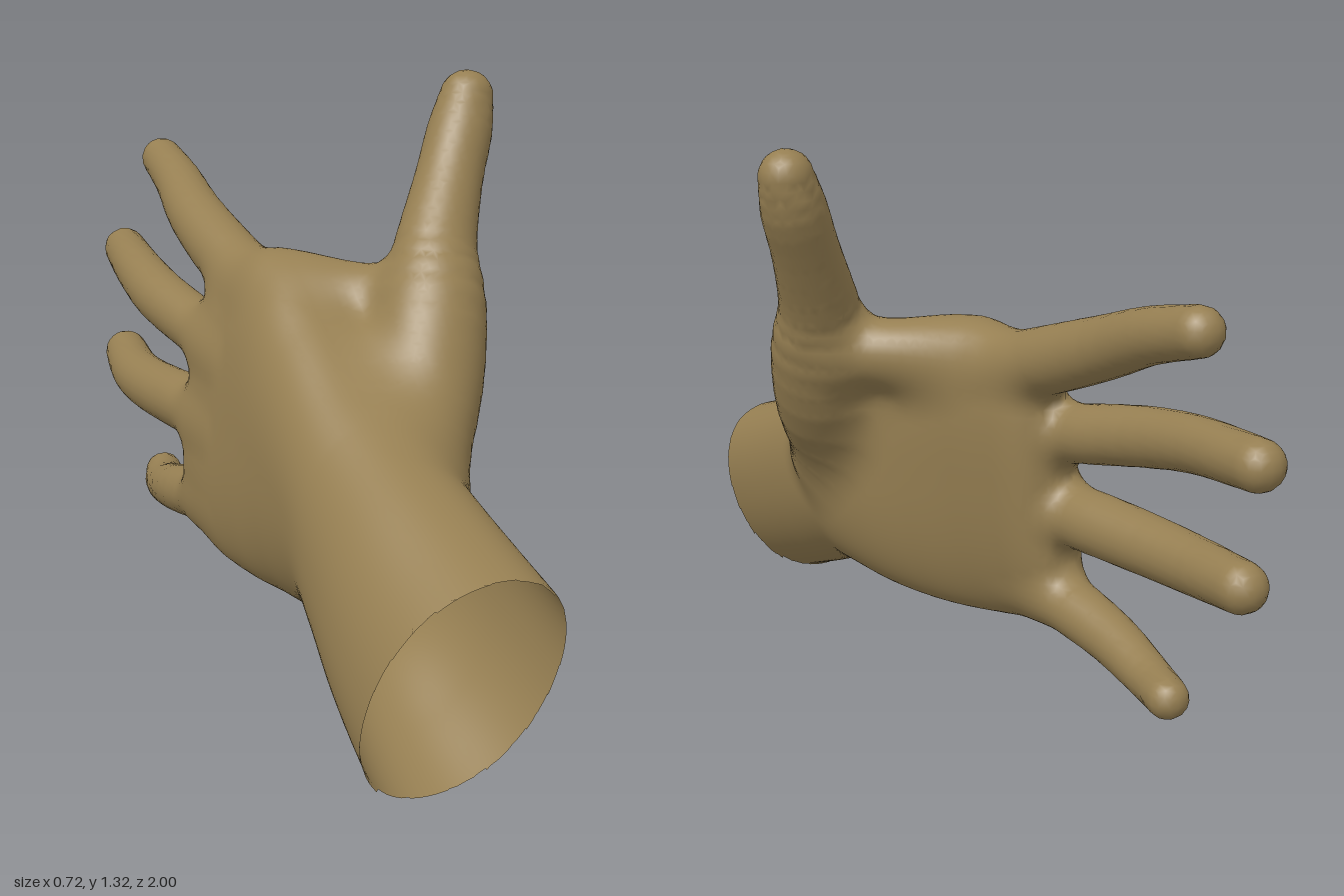
import * as THREE from 'three';

// Body cross-sections from knuckles to forearm: z, top y, bottom y, min x, max x, lean of the top toward +x
const SECTIONS = [
  [-0.40, 0.84, 0.24, -0.30, -0.12, 0.04],
  [-0.22, 0.89, 0.22, -0.305, -0.095, 0.04],
  [-0.08, 0.905, 0.19, -0.305, -0.055, 0.045],
  [0.06, 0.885, 0.175, -0.305, -0.01, 0.03],
  [0.22, 0.80, 0.175, -0.305, 0.03, 0.01],
  [0.40, 0.70, 0.175, -0.31, 0.04, 0],
  [0.55, 0.635, 0.14, -0.325, 0.03, 0.02],
  [0.72, 0.57, 0.07, -0.345, 0.03, 0.035],
  [0.90, 0.505, 0.0, -0.358, 0.038, 0.045],
  [1.20, 0.41, -0.09, -0.37, 0.05, 0.05],
];
const sections = new THREE.CubicInterpolant(
  SECTIONS.map((s) => s[0]), SECTIONS.flatMap((s) => s.slice(1)), 5, new Float32Array(5));

// Smooth chain through a few joints: x, y, z, radius
function chain(...joints) {
  const curve = new THREE.CubicInterpolant(joints.map((_, i) => i), joints.flat(), 4, new Float32Array(4));
  const count = (joints.length - 1) * 3;
  return Array.from({ length: count + 1 }, (_, i) => [...curve.evaluate(i / 3)]);
}

const DIGITS = {
  thumb: chain([-0.035, 0.51, 0.45, 0.112], [0.055, 0.67, 0.315, 0.132], [0.115, 0.82, 0.235, 0.122],
    [0.155, 0.945, 0.17, 0.094], [0.222, 1.09, 0.1, 0.078], [0.268, 1.19, 0.06, 0.075], [0.295, 1.267, 0.04, 0.062]),
  indexFinger: chain([-0.145, 0.815, -0.1, 0.07], [-0.165, 0.865, -0.28, 0.077], [-0.175, 0.942, -0.5, 0.07],
    [-0.162, 1.008, -0.68, 0.06], [-0.153, 1.05, -0.84, 0.053]),
  middleFinger: chain([-0.22, 0.66, -0.1, 0.06], [-0.235, 0.695, -0.3, 0.067], [-0.265, 0.74, -0.52, 0.067],
    [-0.26, 0.775, -0.72, 0.061], [-0.23, 0.797, -0.945, 0.055]),
  ringFinger: chain([-0.235, 0.49, -0.1, 0.06], [-0.25, 0.5, -0.32, 0.072], [-0.275, 0.5, -0.56, 0.068],
    [-0.275, 0.505, -0.72, 0.063], [-0.25, 0.522, -0.89, 0.056]),
  littleFinger: chain([-0.225, 0.31, -0.08, 0.06], [-0.24, 0.287, -0.28, 0.067], [-0.25, 0.255, -0.46, 0.06],
    [-0.235, 0.225, -0.62, 0.051], [-0.205, 0.225, -0.725, 0.047]),
};
const FINGERS = Object.keys(DIGITS).filter((name) => name !== 'thumb').map((name) => DIGITS[name]);

// Web of skin between thumb and index finger
const WEB = [[0.085, 0.825, 0.17, 0.085], [-0.13, 0.84, -0.06, 0.06]];

// Rounded union of two distances
function blend(a, b, k) {
  const h = Math.max(k - Math.abs(a - b), 0) / k;
  return Math.min(a, b) - h * h * k / 4;
}

// Distance to a chain of tapered capsules
function chainDistance(joints, x, y, z) {
  let best = Infinity;
  for (let i = 0; i + 1 < joints.length; i++) {
    const [ax, ay, az, ar] = joints[i], [bx, by, bz, br] = joints[i + 1];
    const ux = bx - ax, uy = by - ay, uz = bz - az, vx = x - ax, vy = y - ay, vz = z - az;
    const t = Math.min(1, Math.max(0, (vx * ux + vy * uy + vz * uz) / (ux * ux + uy * uy + uz * uz)));
    const dx = vx - t * ux, dy = vy - t * uy, dz = vz - t * uz;
    best = Math.min(best, Math.sqrt(dx * dx + dy * dy + dz * dz) - ar - t * (br - ar));
  }
  return best;
}

// Distance to the palm and forearm: rounded oval sections, closed at the knuckles
function bodyDistance(x, y, z) {
  const [top, bottom, minX, maxX, lean] = sections.evaluate(Math.min(1.19, Math.max(-0.39, z)));
  const hy = (top - bottom) / 2, hx = (maxX - minX) / 2;
  const n = 2.15 + 0.4 * Math.min(1, Math.max(0, (0.5 - z) / 0.4));
  const b = (y - (top + bottom) / 2) / hy;
  const a = (x - (minX + maxX) / 2 - lean * Math.max(-1, Math.min(1, b))) / hx;
  const A = Math.abs(a), B = Math.abs(b);
  const q = Math.pow(A ** n + B ** n, 1 / n) + 1e-6;
  const slope = Math.hypot((A / q) ** (n - 1) / hx, (B / q) ** (n - 1) / hy);
  return -blend(-(q - 1) / slope, z + 0.3, 0.1);
}

function handDistance(x, y, z) {
  const fingers = Math.min(...FINGERS.map((joints) => chainDistance(joints, x, y, z)));
  const thumb = blend(chainDistance(DIGITS.thumb, x, y, z), chainDistance(WEB, x, y, z), 0.05);
  return blend(blend(bodyDistance(x, y, z), thumb, 0.1), fingers, 0.045);
}

function gradient(x, y, z) {
  const e = 0.004;
  return new THREE.Vector3(
    handDistance(x + e, y, z) - handDistance(x - e, y, z),
    handDistance(x, y + e, z) - handDistance(x, y - e, z),
    handDistance(x, y, z + e) - handDistance(x, y, z - e)).divideScalar(2 * e);
}

// Slanted open end of the forearm
const rimZ = (y) => 1 + (y - 0.47) * 0.26;

function partAt(x, y, z) {
  let part = z > 0.5 ? 'forearm' : 'palm', best = bodyDistance(x, y, z);
  for (const name in DIGITS) {
    const d = chainDistance(DIGITS[name], x, y, z);
    if (d < best) { best = d; part = name; }
  }
  return part;
}

export function createModel() {
  const step = 0.02, origin = [-0.43, -0.13, -1.06], size = [43, 77, 108];
  const stride = [1, size[0], size[0] * size[1]];
  const total = size[0] * size[1] * size[2];

  // Sample the distance on a grid
  const field = new Float32Array(total);
  for (let k = 0, id = 0; k < size[2]; k++)
    for (let j = 0; j < size[1]; j++)
      for (let i = 0; i < size[0]; i++, id++)
        field[id] = handDistance(origin[0] + i * step, origin[1] + j * step, origin[2] + k * step);

  // One skin vertex in every cell the surface crosses
  const positions = [], normals = [], beyond = [];
  const cellVertex = new Int32Array(total).fill(-1);
  const offsetOf = (c) => (c & 1) * stride[0] + ((c >> 1) & 1) * stride[1] + ((c >> 2) & 1) * stride[2];
  for (let k = 0; k < size[2] - 1; k++)
    for (let j = 0; j < size[1] - 1; j++)
      for (let i = 0; i < size[0] - 1; i++) {
        const id = i + j * stride[1] + k * stride[2];
        const sum = [0, 0, 0];
        let count = 0;
        for (let c = 0; c < 8; c++)
          for (let axis = 0; axis < 3; axis++) {
            if ((c >> axis) & 1) continue;
            const f = field[id + offsetOf(c)], g = field[id + offsetOf(c) + stride[axis]];
            if ((f < 0) === (g < 0)) continue;
            for (let m = 0; m < 3; m++) sum[m] += m === axis ? f / (f - g) : (c >> m) & 1;
            count++;
          }
        if (!count) continue;
        const p = new THREE.Vector3(i, j, k).add(new THREE.Vector3(...sum).divideScalar(count))
          .multiplyScalar(step).add(new THREE.Vector3(...origin));
        const g = gradient(p.x, p.y, p.z);
        p.addScaledVector(g, -handDistance(p.x, p.y, p.z) / Math.max(g.lengthSq(), 0.3));
        const normal = gradient(p.x, p.y, p.z).normalize();
        const outside = p.z > rimZ(p.y);
        if (outside) p.z = rimZ(p.y);
        cellVertex[id] = beyond.length;
        beyond.push(outside);
        positions.push(p.x, p.y, p.z);
        normals.push(normal.x, normal.y, normal.z);
      }

  // Join neighbouring vertices into quads, sorted by part
  const parts = {};
  for (let k = 1; k < size[2] - 1; k++)
    for (let j = 1; j < size[1] - 1; j++)
      for (let i = 1; i < size[0] - 1; i++) {
        const id = i + j * stride[1] + k * stride[2];
        for (let axis = 0; axis < 3; axis++) {
          const inside = field[id] < 0;
          if (inside === field[id + stride[axis]] < 0) continue;
          const b = stride[(axis + 1) % 3], c = stride[(axis + 2) % 3];
          const quad = [id - b - c, id - c, id, id - b].map((n) => cellVertex[n]);
          if (quad.some((v) => v < 0) || quad.every((v) => beyond[v])) continue;
          if (!inside) quad.reverse();
          const name = partAt(...positions.slice(quad[0] * 3, quad[0] * 3 + 3));
          (parts[name] ??= []).push(quad[0], quad[1], quad[2], quad[0], quad[2], quad[3]);
        }
      }

  const skin = new THREE.MeshStandardMaterial({ color: 0x967f52, side: THREE.DoubleSide });
  skin.name = 'skin';
  const position = new THREE.Float32BufferAttribute(positions, 3);
  const normal = new THREE.Float32BufferAttribute(normals, 3);
  const hand = new THREE.Group();
  hand.name = 'hand';
  for (const name in parts) {
    const geometry = new THREE.BufferGeometry();
    geometry.setAttribute('position', position);
    geometry.setAttribute('normal', normal);
    geometry.setIndex(parts[name]);
    const mesh = new THREE.Mesh(geometry, skin);
    mesh.name = name;
    hand.add(mesh);
  }
  return hand;
}
